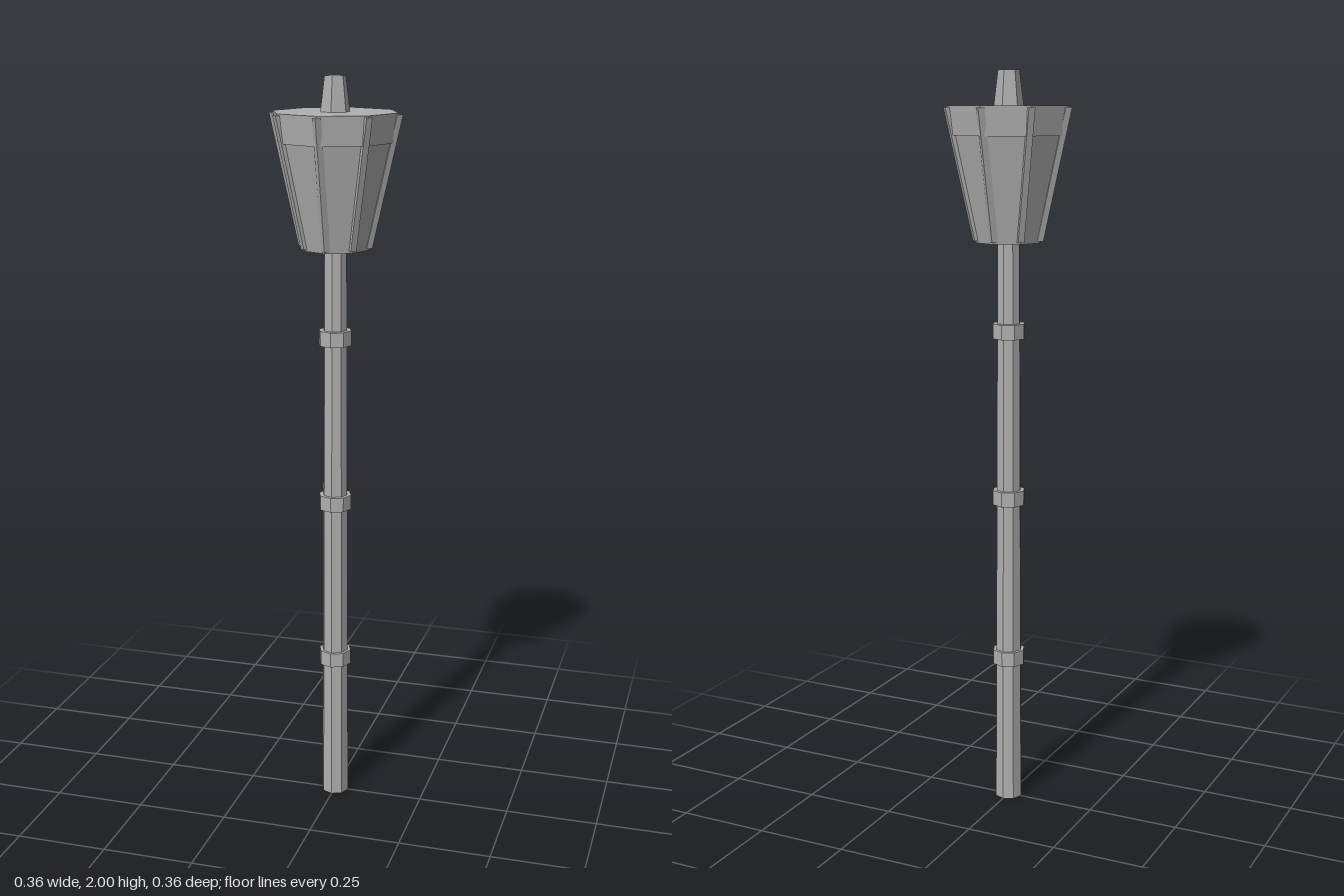
import * as THREE from 'three';

const steel = new THREE.MeshStandardMaterial({ color: 0xb0b0b0 });
steel.name = 'grey';

export function createModel() {
  const group = new THREE.Group();

  const add = (name, geometry) => {
    const flat = geometry.toNonIndexed();
    flat.computeVertexNormals();
    const mesh = new THREE.Mesh(flat, steel);
    mesh.name = name;
    group.add(mesh);
  };

  // Faceted tapered prism standing between two heights
  const prism = (name, rBottom, rTop, y0, y1, sides = 8) => {
    const g = new THREE.CylinderGeometry(rTop, rBottom, y1 - y0, sides);
    add(name, g.translate(0, (y0 + y1) / 2, 0));
  };

  // Tapered shaft with three collars
  prism('shaft', 0.038, 0.031, 0, 1.57);
  [0.415, 0.87, 1.325].forEach((y, i) => prism('collar' + (i + 1), 0.045, 0.045, y - 0.02, y + 0.02));

  // Flared head, rim and top stud
  prism('head', 0.09, 0.152, 1.56, 1.84);
  prism('rim', 0.158, 0.167, 1.835, 1.91);
  prism('stud', 0.039, 0.028, 1.91, 2, 6);

  // Eight diamond-section ribs leaning outwards along the head corners
  const y0 = 1.565, y1 = 1.906;
  for (let i = 0; i < 8; i++) {
    const a = (i * Math.PI) / 4;
    const g = new THREE.CylinderGeometry(0.012, 0.012, y1 - y0, 4);
    g.translate(0, (y0 + y1) / 2, 0);
    const p = g.attributes.position;
    for (let v = 0; v < p.count; v++) {
      const t = (p.getY(v) - y0) / (y1 - y0);
      const r = 0.088 + t * 0.078;
      p.setX(v, p.getX(v) + Math.sin(a) * r);
      p.setZ(v, p.getZ(v) + Math.cos(a) * r);
    }
    add('rib' + (i + 1), g);
  }

  return group;
}
